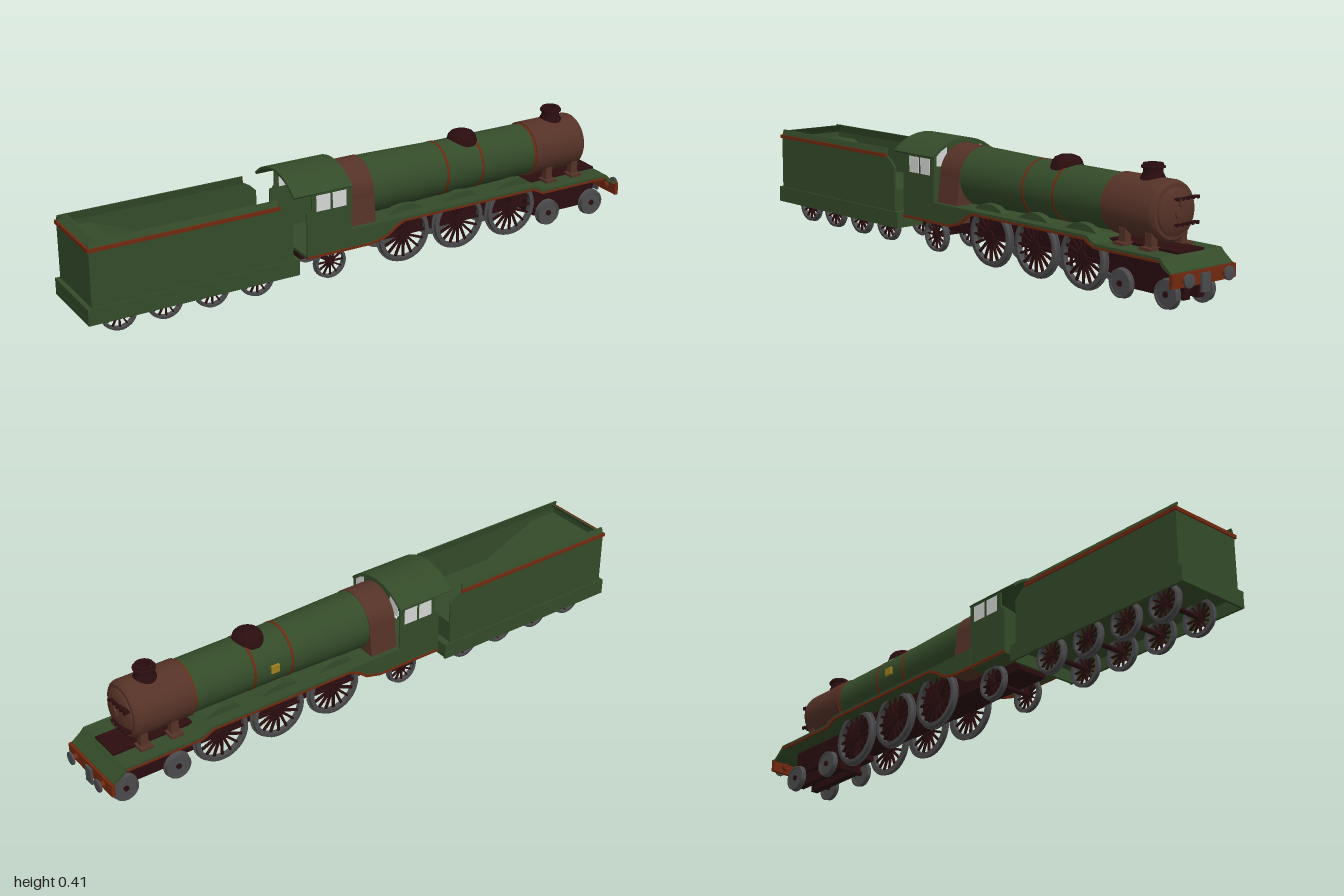
import * as THREE from 'three';
import { toCreasedNormals } from 'three/addons/utils/BufferGeometryUtils.js';

const mat = (name, color, side = THREE.FrontSide) => {
  const m = new THREE.MeshStandardMaterial({ color, side });
  m.name = name;
  return m;
};

export function createModel() {
  const root = new THREE.Group();
  root.name = 'steamLocomotive';
  const green = mat('green paint', 0x344b29, THREE.DoubleSide);
  const brown = mat('brown iron', 0x553227);
  const maroon = mat('dark maroon', 0x2a0d0f);
  const red = mat('red lining', 0x70280f);
  const steel = mat('grey steel', 0x4b4b4d);
  const glass = mat('pale glass', 0xd4d8d4);
  const brass = mat('brass', 0xa0801f);

  const add = (name, geo, m, x = 0, y = 0, z = 0, parent = root) => {
    const mesh = new THREE.Mesh(geo, m);
    mesh.name = name;
    mesh.position.set(x, y, z);
    parent.add(mesh);
    return mesh;
  };
  // box given by its min and max corners
  const box = (name, m, x0, x1, y0, y1, z0, z1, parent) =>
    add(name, new THREE.BoxGeometry(x1 - x0, y1 - y0, z1 - z0), m, (x0 + x1) / 2, (y0 + y1) / 2, (z0 + z1) / 2, parent);
  const poly = pts => new THREE.Shape(pts.map(p => new THREE.Vector2(...p)));
  const extrude = (shape, depth) => new THREE.ExtrudeGeometry(shape, { depth, bevelEnabled: false, curveSegments: 24 });
  // side profile in x,y, extruded from z0 to z1
  const sidePlate = (name, m, shape, z0, z1) => add(name, extrude(shape, z1 - z0), m, 0, 0, z0);
  // cross-section in z,y, extruded from x0 to x1
  const section = (name, m, shape, x0, x1) => add(name, extrude(shape, x1 - x0).rotateY(Math.PI / 2), m, x0);
  const lathe = (pts, seg = 40) => toCreasedNormals(new THREE.LatheGeometry(pts.map(p => new THREE.Vector2(...p)), seg), 0.6);
  // turned part along x from [radius, x] points
  const turned = (name, m, pts, y, z = 0) => add(name, lathe(pts).rotateZ(-Math.PI / 2), m, 0, y, z);
  const rodZ = (r, len, seg = 20) => new THREE.CylinderGeometry(r, r, len, seg).rotateX(Math.PI / 2);

  // ---- wheels ----
  function wheel(name, x, y, s, r, spokes) {
    const g = new THREE.Group();
    g.name = name;
    g.position.set(x, y, s * 0.074);
    root.add(g);
    const t = r * 0.86, inner = r * 0.8;
    const tyre = lathe([[inner, -0.009], [t + r * 0.14, -0.009], [t + r * 0.14, -0.005], [r * 0.95, -0.003], [r * 0.94, 0.009], [inner, 0.009], [inner, -0.009]], 36);
    add('tyre', tyre.rotateX(s * Math.PI / 2), steel, 0, 0, 0, g);
    if (spokes) {
      for (let i = 0; i < spokes; i++) {
        const a = (i / spokes) * Math.PI * 2;
        const sp = add('spoke', new THREE.BoxGeometry(r * 0.075, r * 0.7, 0.007), maroon, -Math.sin(a) * r * 0.47, Math.cos(a) * r * 0.47, 0, g);
        sp.rotation.z = a;
      }
    } else add('disc', rodZ(r * 0.82, 0.01, 32), steel, 0, 0, 0, g);
    add('hub', rodZ(r * 0.2, 0.02), maroon, 0, 0, 0, g);
  }
  const wheelSets = [
    ['drivingWheel', [0.128, 0.343, 0.555], 0.1, 0.1, 16],
    ['trailingWheel', [-0.15], 0.065, 0.058, 12],
    ['bogieWheel', [0.715, 0.9], 0.05, 0.046, 0],
    ['tenderWheel', [-0.88, -0.727, -0.57, -0.413], 0.066, 0.06, 12],
  ];
  for (const [name, xs, y, r, n] of wheelSets) for (const x of xs) {
    for (const s of [-1, 1]) wheel(name, x, y, s, r, n);
    add('axle', rodZ(0.008, 0.14, 12), maroon, x, y, 0);
  }

  // ---- engine frame, bogie and running boards ----
  box('mainFrame', maroon, -0.25, 0.62, 0.085, 0.12, -0.055, 0.055);
  box('upperFrame', maroon, -0.02, 0.92, 0.1, 0.18, -0.055, 0.055).scale.y = 0.8;
  box('frontFrame', maroon, 0.63, 0.92, 0.07, 0.152, -0.06, 0.06);
  for (const s of [-1, 1]) box('bogieFrame', maroon, 0.68, 0.935, 0.032, 0.08, s * 0.03 - 0.013, s * 0.03 + 0.013);

  const deck = poly([[-0.1, 0.185], [0.62, 0.185], [0.655, 0.165], [0.92, 0.165], [0.935, 0.15], [0.965, 0.127], [0.965, 0.118],
    [0.93, 0.138], [0.915, 0.155], [0.65, 0.155], [0.615, 0.175], [-0.1, 0.175]]);
  sidePlate('runningBoard', green, deck, -0.128, 0.128);
  const valance = poly([[-0.1, 0.122], [-0.02, 0.124], [0.03, 0.138], [0.06, 0.158], [0.1, 0.176], [0.1, 0.182], [-0.1, 0.182]]);
  const lining = poly([[-0.26, 0.116], [-0.02, 0.116], [0.035, 0.13], [0.065, 0.153], [0.1, 0.17], [0.61, 0.17], [0.65, 0.15], [0.915, 0.15],
    [0.92, 0.157], [0.652, 0.157], [0.615, 0.177], [0.095, 0.177], [0.06, 0.16], [0.03, 0.138], [-0.02, 0.124], [-0.26, 0.124]]);
  for (const s of [-1, 1]) {
    sidePlate('valance', green, valance, s * 0.125 - 0.003, s * 0.125 + 0.003);
    sidePlate('redLining', red, lining, s * 0.127 - 0.003, s * 0.127 + 0.003);
    // low splashers over the driving wheels
    for (const x of [0.128, 0.343, 0.555]) {
      const arc = new THREE.Shape();
      const a = Math.asin(0.72);
      arc.absarc(x, 0.1, 0.108, a, Math.PI - a, false);
      sidePlate('splasher', green, arc, s * 0.075 - 0.013, s * 0.075 + 0.013);
    }
  }

  // ---- buffer beam, buffers and coupling ----
  box('bufferBeam', red, 0.962, 0.974, 0.083, 0.125, -0.132, 0.132);
  for (const s of [-1, 1]) {
    turned('bufferShank', red, [[0, 0.95], [0.013, 0.95], [0.011, 0.97], [0.008, 0.992]], 0.105, s * 0.083);
    turned('bufferHead', steel, [[0, 0.988], [0.021, 0.99], [0.021, 0.996], [0, 1]], 0.105, s * 0.083);
  }
  box('coupling', steel, 0.974, 0.982, 0.06, 0.116, -0.017, 0.017);

  // ---- boiler ----
  const cy = 0.273;
  const firebox = new THREE.Shape();
  firebox.moveTo(0.118, 0.125);
  firebox.lineTo(0.099, cy);
  firebox.absarc(0, cy, 0.099, 0, Math.PI, false);
  firebox.lineTo(-0.118, 0.125);
  section('firebox', brown, firebox, -0.1, 0);
  turned('boilerBarrel', green, [[0.097, -0.01], [0.096, 0.06], [0.09, 0.3], [0.088, 0.66]], cy);
  for (const [x, r] of [[0.292, 0.0915], [0.43, 0.0905], [0.645, 0.0895]])
    turned('boilerBand', red, [[0.085, x - 0.004], [r, x - 0.004], [r, x + 0.004], [0.085, x + 0.004]], cy);
  turned('smokebox', brown, [[0, 0.648], [0.093, 0.648], [0.093, 0.835], [0.09, 0.846], [0.083, 0.853], [0.074, 0.854], [0, 0.854]], cy);
  turned('smokeboxDoor', brown, [[0.072, 0.852], [0.071, 0.859], [0.06, 0.866], [0.035, 0.872], [0, 0.874]], cy);
  turned('doorBoss', brown, [[0.018, 0.868], [0.017, 0.878], [0, 0.88]], cy, 0.002);
  box('doorHandle', brown, 0.872, 0.879, 0.275, 0.314, -0.002, 0.004);
  for (const y of [0.313, 0.238]) {
    box('doorHinge', maroon, 0.862, 0.878, y - 0.003, y + 0.003, -0.075, 0.02);
    for (let i = 0; i < 5; i++) box('hingeRivet', maroon, 0.876, 0.882, y - 0.005, y + 0.005, -0.074 + i * 0.021, -0.066 + i * 0.021);
  }
  // smokebox saddle feet
  for (const x of [0.715, 0.822]) for (const s of [-1, 1]) {
    box('saddleLeg', brown, x - 0.013, x + 0.013, 0.16, 0.235, s * 0.062 - 0.012, s * 0.062 + 0.012);
    box('saddleFoot', brown, x - 0.022, x + 0.022, 0.16, 0.174, s * 0.068 - 0.022, s * 0.068 + 0.022);
  }
  // chimney, dome and badge
  add('chimney', lathe([[0.045, 0.345], [0.036, 0.366], [0.03, 0.378], [0.03, 0.39], [0.036, 0.392], [0.036, 0.397], [0.031, 0.399], [0.03, 0.405], [0.018, 0.405], [0.016, 0.37]]), maroon, 0.765);
  add('chimneyBore', new THREE.CircleGeometry(0.015, 20).rotateX(-Math.PI / 2), glass, 0.765, 0.376);
  add('dome', lathe([[0.055, 0.345], [0.049, 0.362], [0.046, 0.372], [0.038, 0.381], [0.022, 0.388], [0, 0.39]]), maroon, 0.4);
  box('badge', brass, 0.345, 0.375, 0.262, 0.288, -0.097, -0.088);

  // ---- cab ----
  const R = 0.186, rc = 0.202, ang = 0.775;
  const roof = new THREE.Shape();
  roof.absarc(0, rc, R, Math.PI / 2 - ang, Math.PI / 2 + ang, false);
  roof.absarc(0, rc, R - 0.008, Math.PI / 2 + ang, Math.PI / 2 - ang, true);
  section('cabRoof', green, roof, -0.307, -0.098);
  const front = new THREE.Shape();
  front.moveTo(0.127, 0.12);
  front.absarc(0, rc, R - 0.004, Math.PI / 2 - 0.765, Math.PI / 2 + 0.765, false);
  front.lineTo(-0.127, 0.12);
  section('cabFront', green, front, -0.108, -0.102);
  const side = poly([[-0.26, 0.12], [-0.1, 0.12], [-0.1, 0.338], [-0.243, 0.338], [-0.243, 0.28], [-0.25, 0.27], [-0.26, 0.268]]);
  for (const s of [-1, 1]) {
    section('frontWindow', glass, poly([[s * 0.07, 0.298], [s * 0.113, 0.302], [s * 0.113, 0.334], [s * 0.094, 0.35], [s * 0.07, 0.362]]), -0.109, -0.1005);
    sidePlate('cabSide', green, side, s * 0.124 - 0.003, s * 0.124 + 0.003);
    for (const x of [-0.202, -0.143]) box('sideWindow', glass, x - 0.025, x + 0.025, 0.272, 0.326, s * 0.124 - 0.004, s * 0.124 + 0.004);
  }
  box('cabFloor', green, -0.26, -0.1, 0.115, 0.125, -0.122, 0.122);

  // ---- tender ----
  box('tenderFrame', green, -1, -0.29, 0.112, 0.126, -0.13, 0.13);
  for (const s of [-1, 1]) {
    box('tenderSkirt', green, -1, -0.29, 0.072, 0.126, s * 0.127 - 0.004, s * 0.127 + 0.004);
    sidePlate('tenderSide', green, poly([[-0.985, 0.126], [-0.31, 0.126], [-0.31, 0.275], [-0.33, 0.295], [-0.355, 0.31], [-0.985, 0.31]]), s * 0.123 - 0.003, s * 0.123 + 0.003);
    box('tenderLining', red, -0.99, -0.355, 0.305, 0.317, s * 0.127 - 0.004, s * 0.127 + 0.004);
    // coping leaning inwards above the lining
    section('tenderCoping', green, poly([[s * 0.127, 0.312], [s * 0.119, 0.335], [s * 0.114, 0.335], [s * 0.12, 0.308]]), -0.985, -0.36);
  }
  for (const x of [-0.996, -0.298]) box('tenderEndBeam', green, x - 0.004, x + 0.004, 0.072, 0.126, -0.13, 0.13);
  box('tenderRear', green, -0.985, -0.979, 0.126, 0.31, -0.123, 0.123);
  box('rearLining', red, -0.99, -0.983, 0.305, 0.317, -0.131, 0.131);
  sidePlate('rearCoping', green, poly([[-0.988, 0.312], [-0.979, 0.308], [-0.955, 0.335], [-0.962, 0.335]]), -0.12, 0.12);
  // coal space: rear shelf, slope and flat floor
  sidePlate('coalSpace', green, poly([[-0.98, 0.126], [-0.315, 0.126], [-0.315, 0.2], [-0.67, 0.2], [-0.88, 0.29], [-0.98, 0.29]]), -0.12, 0.12);

  return root;
}
